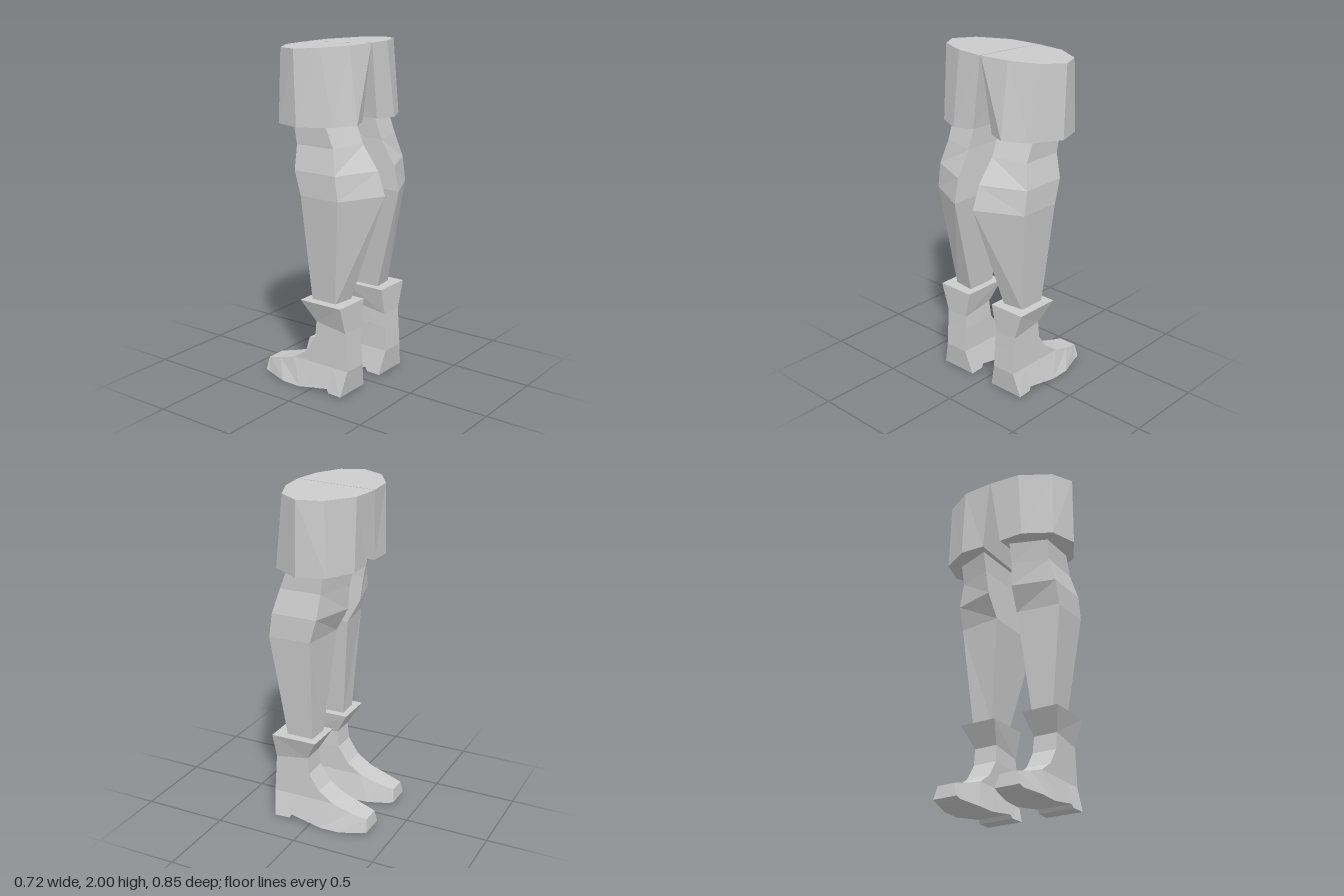
import * as THREE from 'three';

const material = new THREE.MeshStandardMaterial({ color: 0xcccccc, flatShading: true });

// Skin a row of equal-length rings of [x, y, z], cap both ends, and face it outward.
function loft(name, rings, side) {
  const n = rings[0].length;
  const points = rings.flat().map(([x, y, z]) => new THREE.Vector3(x, y, z * side));
  const faces = [];
  for (let r = 0; r < rings.length - 1; r++) {
    for (let i = 0; i < n; i++) {
      const j = (i + 1) % n;
      const a = r * n + i, b = r * n + j, c = a + n, d = b + n;
      faces.push([a, b, d], [a, d, c]);
    }
  }
  const last = (rings.length - 1) * n;
  for (let i = 1; i < n - 1; i++) {
    faces.push([0, i + 1, i], [last, last + i, last + i + 1]);
  }
  let volume = 0;
  for (const [a, b, c] of faces) {
    volume += points[a].dot(new THREE.Vector3().crossVectors(points[b], points[c]));
  }
  const corners = faces.flatMap(([a, b, c]) => (volume < 0 ? [a, c, b] : [a, b, c]));
  const geometry = new THREE.BufferGeometry().setFromPoints(corners.map((i) => points[i]));
  geometry.computeVertexNormals();
  const mesh = new THREE.Mesh(geometry, material);
  mesh.name = name;
  return mesh;
}

// Half of the shorts: a tapered prism leaning away from the other half
function shortsLeg(side) {
  const top = [[-0.255, 0.003], [-0.24, 0.19], [-0.135, 0.365], [0, 0.425],
    [0.12, 0.35], [0.19, 0.18], [0.21, 0.003]];
  const hem = [[-0.235, 0.06], [-0.24, 0.21], [-0.15, 0.37], [0.01, 0.42],
    [0.18, 0.32], [0.245, 0.18], [0.2, 0.07]];
  return loft('shortsLeg', [
    hem.map(([x, z]) => [x, 1.57, z]),
    top.map(([x, z]) => [x, 1.99 + 0.04 * x, z]),
  ], side);
}

// Bare leg: four-sided rings, wider on the inner side
function leg(side) {
  // y, inner front x, outer front x, outer back x, inner back x, inner z, outer z
  const sections = [
    [0.54, -0.01, -0.005, 0.155, 0.17, 0.135, 0.265],
    [1.17, -0.065, -0.03, 0.225, 0.355, 0.07, 0.335],
    [1.31, -0.14, -0.07, 0.205, 0.315, 0.08, 0.335],
    [1.45, -0.155, -0.08, 0.17, 0.22, 0.09, 0.3],
    [1.6, -0.185, -0.105, 0.11, 0.16, 0.09, 0.305],
  ];
  return loft('leg', sections.map(([y, fi, fo, bo, bi, zi, zo]) => [
    [fi, y, zi], [fo, y, zo], [bo, y, zo], [bi, y, zi],
  ]), side);
}

// Boot shaft with flared cuff
function bootShaft(side) {
  // front x, front y, back x, back y, inner z, outer z
  const sections = [
    [-0.14, 0.16, 0.245, 0.16, 0.12, 0.27],
    [-0.05, 0.22, 0.241, 0.22, 0.12, 0.27],
    [0.015, 0.32, 0.235, 0.31, 0.12, 0.27],
    [0.025, 0.42, 0.23, 0.39, 0.125, 0.27],
    [-0.05, 0.55, 0.23, 0.55, 0.09, 0.32],
  ];
  return loft('bootShaft', sections.map(([fx, fy, bx, by, zi, zo]) => [
    [fx, fy, zi], [fx, fy, zo], [bx, by, zo], [bx, by, zi],
  ]), side);
}

// Foot of the boot, from toe to heel, spreading towards the sole
function bootFoot(side) {
  // top x, top y, top inner z, top outer z, sole x, sole y, sole inner z, sole outer z
  const sections = [
    [-0.35, 0.1, 0.14, 0.25, -0.36, 0.025, 0.12, 0.27],
    [-0.34, 0.103, 0.138, 0.252, -0.33, 0.013, 0.115, 0.272],
    [-0.25, 0.125, 0.125, 0.265, -0.2, 0.003, 0.085, 0.31],
    [-0.14, 0.16, 0.12, 0.27, -0.08, 0, 0.08, 0.31],
    [0, 0.16, 0.12, 0.27, 0, 0.013, 0.085, 0.305],
    [0.12, 0.16, 0.12, 0.27, 0.12, 0.033, 0.09, 0.3],
    [0.135, 0.16, 0.12, 0.27, 0.135, 0.012, 0.085, 0.305],
    [0.245, 0.16, 0.12, 0.27, 0.225, 0.012, 0.08, 0.31],
  ];
  return loft('bootFoot', sections.map(([tx, ty, ti, to, sx, sy, si, so]) => [
    [tx, ty, ti], [tx, ty, to], [sx, sy, so], [sx, sy, si],
  ]), side);
}

export function createModel() {
  const model = new THREE.Group();
  model.name = 'legsWithShortsAndBoots';
  for (const side of [1, -1]) {
    const half = new THREE.Group();
    half.name = side > 0 ? 'nearLeg' : 'farLeg';
    half.add(shortsLeg(side), leg(side), bootShaft(side), bootFoot(side));
    model.add(half);
  }
  return model;
}
